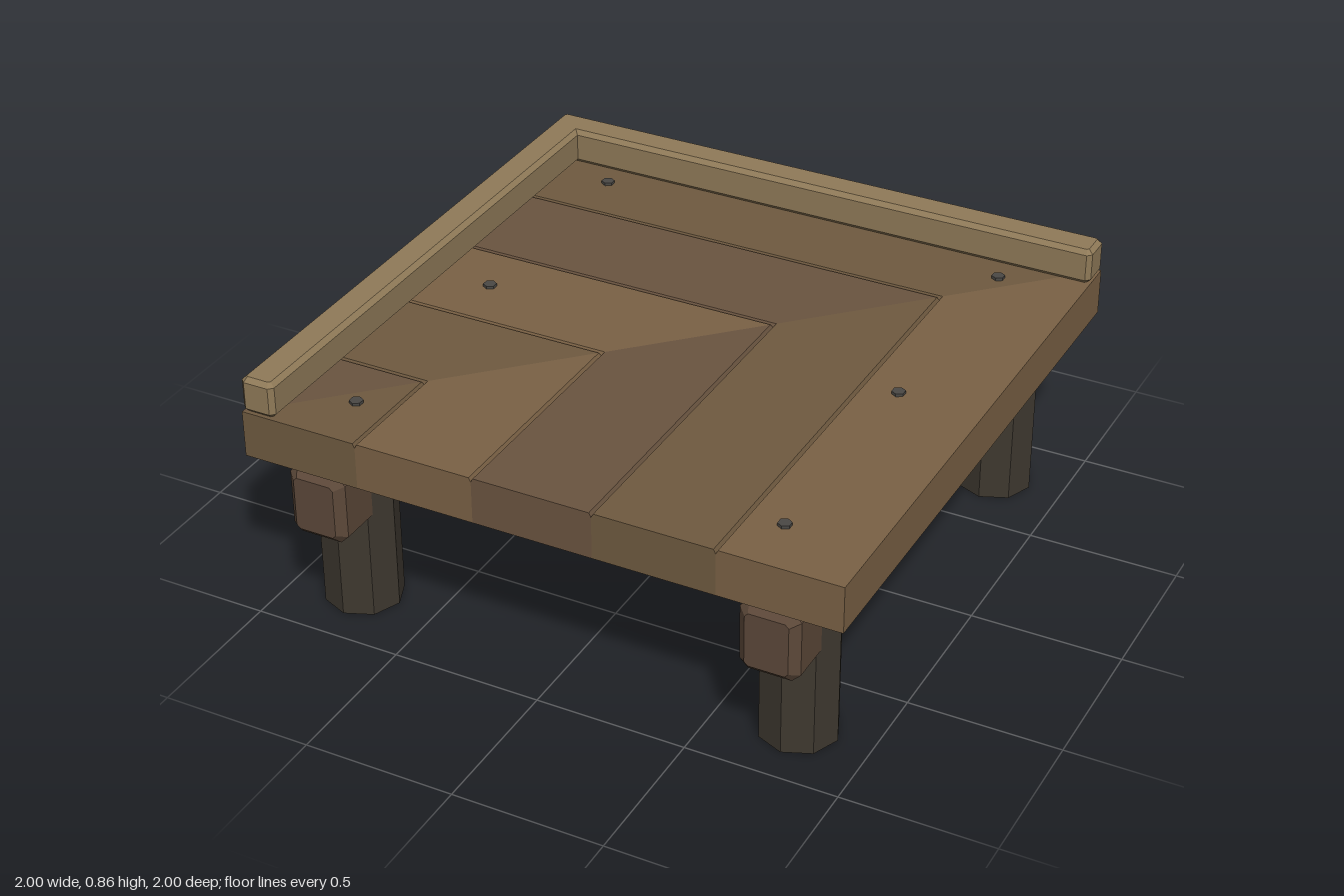
import * as THREE from 'three';

const mat = (color) => new THREE.MeshStandardMaterial({ color, flatShading: true });
const plankMats = [mat(0x6f5a40), mat(0x6a5440), mat(0x7a6145)]; // medium, dark, light
const curbMat = mat(0x8f7a58), beamMat = mat(0x5c4839), legMat = mat(0x3e382f), nailMat = mat(0x4a4845);

const DECK_BOTTOM = 0.585, DECK_TOP = 0.742;

function addMesh(parent, name, geometry, material, x = 0, y = 0, z = 0) {
  const mesh = new THREE.Mesh(geometry, material);
  mesh.name = name;
  mesh.position.set(x, y, z);
  parent.add(mesh);
  return mesh;
}

const shapeOf = (pts) => new THREE.Shape(pts.map(([x, y]) => new THREE.Vector2(x, y)));

// Extrusion with one flat chamfer that keeps the outline's size and total depth
function chamferedExtrude(pts, depth, bevel) {
  const g = new THREE.ExtrudeGeometry(shapeOf(pts), {
    depth: depth - 2 * bevel, bevelEnabled: true, bevelSegments: 1,
    bevelSize: bevel, bevelThickness: bevel, bevelOffset: -bevel,
  });
  return g.translate(0, 0, bevel);
}

// Plank of band a..b, its inner end mitred on the deck diagonal (x = -z)
function plankGeometry(a, b, alongX) {
  const w = 0.007, d = 0.014;
  const pts = [[a, DECK_BOTTOM], [b, DECK_BOTTOM]];
  if (b < 0.99) pts.push([b, DECK_TOP - d], [b - w, DECK_TOP]);
  else pts.push([b, DECK_TOP]);
  if (a > -0.99) pts.push([a + w, DECK_TOP], [a, DECK_TOP - d]);
  else pts.push([a, DECK_TOP]);
  const g = new THREE.ExtrudeGeometry(shapeOf(pts), { depth: 1, bevelEnabled: false });
  const p = g.attributes.position;
  for (let i = 0; i < p.count; i++) {
    const s = p.getX(i), t = p.getZ(i);
    if (alongX) p.setXYZ(i, THREE.MathUtils.lerp(-s, -1, t), p.getY(i), s);
    else p.setXYZ(i, -s, p.getY(i), THREE.MathUtils.lerp(1, s, t));
  }
  g.computeVertexNormals();
  return g;
}

export function createModel() {
  const model = new THREE.Group();
  model.name = 'cornerPlatform';

  // Deck: five L-shaped courses of mitred planks
  const deck = new THREE.Group();
  deck.name = 'deck';
  model.add(deck);
  for (let k = 0; k < 5; k++) {
    const a = -1 + 0.4 * k, b = a + 0.4;
    addMesh(deck, 'sidewaysPlank', plankGeometry(a, b, true), plankMats[k % 3]);
    addMesh(deck, 'lengthwisePlank', plankGeometry(a, b, false), plankMats[(k + 2) % 3]);
  }

  // Raised curb along the back and the right edge
  const c = 0.015, inner = 0.885;
  const curb = chamferedExtrude([
    [-1, -1 + c], [-1 + c, -1], [-inner - c, -1], [-inner, -1 + c],
    [-inner, inner], [1 - c, inner], [1, inner + c], [1, 1 - c], [1 - c, 1],
    [-1 + c, 1], [-1, 1 - c],
  ], 0.122, 0.015).rotateX(-Math.PI / 2);
  addMesh(model, 'curb', curb, curbMat, 0, DECK_TOP, 0);

  // Nail heads
  const nail = new THREE.CylinderGeometry(0.022, 0.022, 0.02, 6);
  for (const x of [-0.72, 0.72]) {
    for (const z of [-0.8, 0, 0.8]) addMesh(model, 'nailHead', nail, nailMat, x, DECK_TOP, z);
  }

  // Chamfered beams running front to back, each on two octagonal posts
  const hw = 0.098, hh = 0.12, e = 0.028;
  const beam = chamferedExtrude([
    [-hw, -hh + e], [-hw + e, -hh], [hw - e, -hh], [hw, -hh + e],
    [hw, hh - e], [hw - e, hh], [-hw + e, hh], [-hw, hh - e],
  ], 2, 0.028);
  const post = new THREE.CylinderGeometry(0.128, 0.128, DECK_BOTTOM, 8);
  for (const x of [-0.762, 0.762]) {
    addMesh(model, 'beam', beam, beamMat, x, 0.463, -1);
    for (const z of [-0.762, 0.762]) addMesh(model, 'post', post, legMat, x, DECK_BOTTOM / 2, z);
  }
  return model;
}
